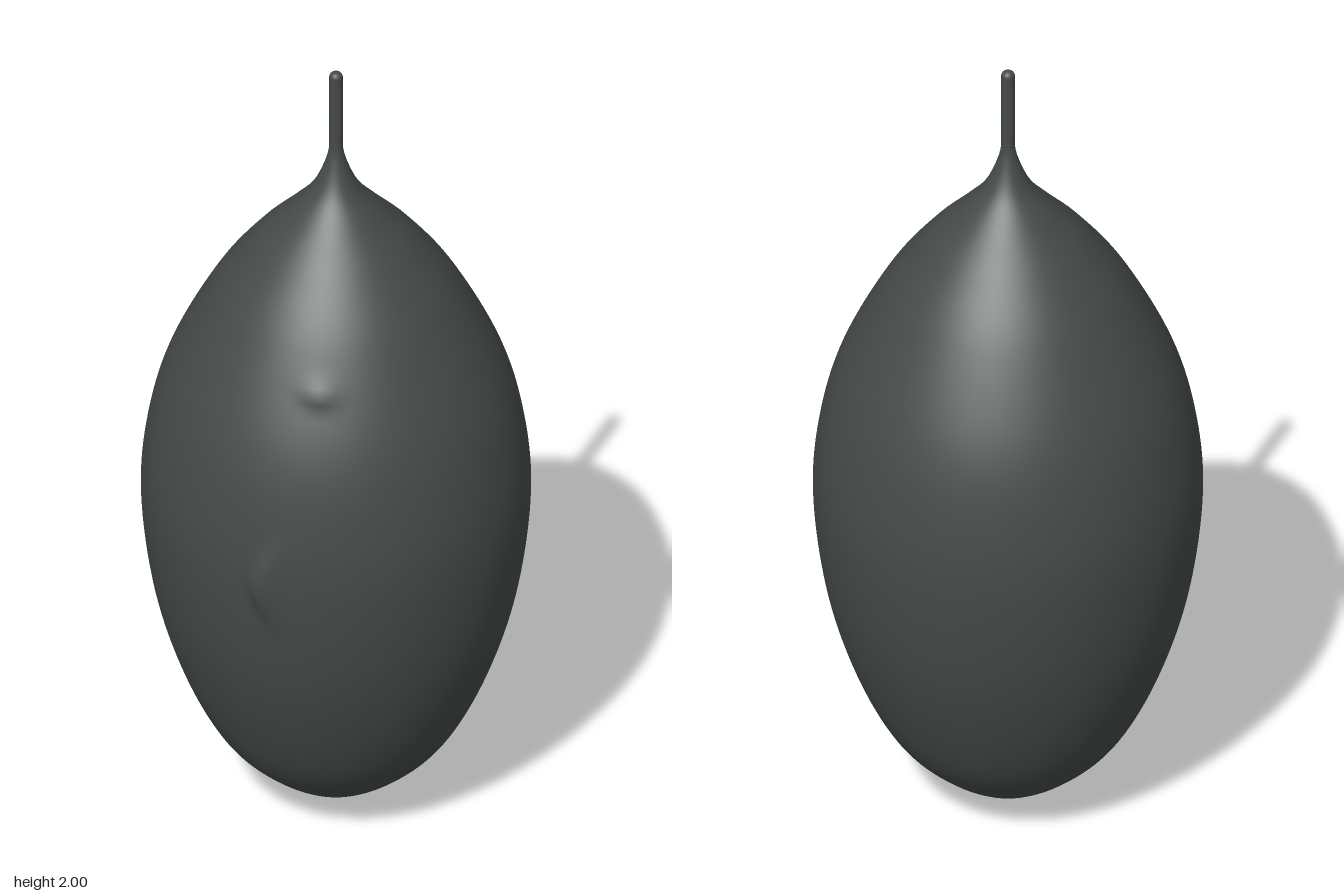
import * as THREE from 'three';
import { mergeVertices } from 'three/addons/utils/BufferGeometryUtils.js';

const V2 = (x, y) => new THREE.Vector2(x, y);

// Smooth 0..1 falloff
const bell = (d, width) => Math.exp(-(d * d) / (width * width));

// Outline from the bottom tip to the foot of the stem
const bodyCurve = new THREE.SplineCurve([
  V2(0, 0), V2(0.07, 0.025), V2(0.185, 0.105), V2(0.28, 0.21), V2(0.362, 0.38),
  V2(0.423, 0.59), V2(0.452, 0.83), V2(0.438, 1.02), V2(0.39, 1.2), V2(0.29, 1.4),
  V2(0.195, 1.53), V2(0.115, 1.615), V2(0.055, 1.685), V2(0.02, 1.77), V2(0.016, 1.83),
]);

export function createModel() {
  const group = new THREE.Group();
  const charcoal = new THREE.MeshStandardMaterial({ color: 0x454b4a });
  charcoal.name = 'charcoal green';

  // Outline with the thin stem and its rounded end
  const profile = bodyCurve.getPoints(170);
  profile[0].set(0, 0);
  for (let i = 0; i <= 6; i++) {
    const a = (i / 6) * Math.PI / 2;
    profile.push(V2(0.016 * Math.cos(a), 1.986 + 0.014 * Math.sin(a)));
  }

  let geometry = new THREE.LatheGeometry(profile, 180);
  geometry.deleteAttribute('uv');
  geometry.deleteAttribute('normal');
  geometry = mergeVertices(geometry, 1e-5);

  // Two shallow raised ridges on the front right
  const p = geometry.attributes.position;
  for (let i = 0; i < p.count; i++) {
    const x = p.getX(i), y = p.getY(i), z = p.getZ(i);
    const r = Math.hypot(x, z);
    if (r < 0.1) continue;
    const angle = Math.atan2(x, z);

    // Upright crescent, steep on its outer side
    const dy = y - 0.84;
    const s = angle + 0.865 - dy * dy * 7;
    const upright = 0.019 * bell(dy, 0.085) * bell(s, s < 0 ? 0.03 : 0.1);

    // Small level ledge, steep below
    const dx = angle + 0.56;
    const t = y - 1.31 - dx * dx * 0.1;
    const ledge = 0.009 * bell(dx, 0.12) * bell(t, t < 0 ? 0.012 : 0.035);

    const k = 1 + (upright + ledge) / r;
    p.setXYZ(i, x * k, y, z * k);
  }
  geometry.computeVertexNormals();

  const body = new THREE.Mesh(geometry, charcoal);
  body.name = 'podWithStem';
  group.add(body);
  return group;
}
